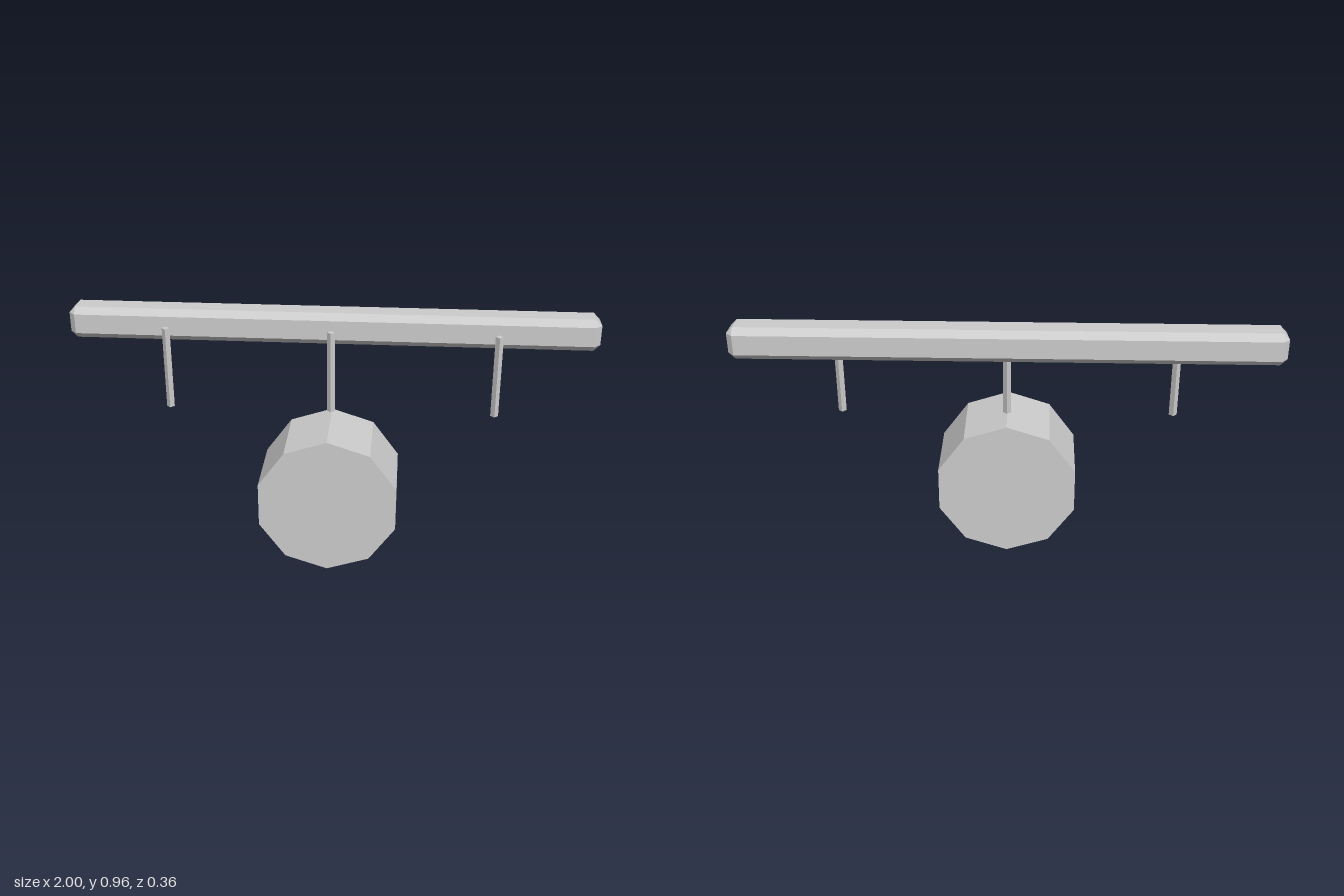
import * as THREE from 'three';
import { ConvexGeometry } from 'three/addons/geometries/ConvexGeometry.js';

// Box with every edge and corner cut flat by c
function chamferedBox(w, h, d, c) {
  const half = [w / 2, h / 2, d / 2];
  const points = [];
  for (const sx of [-1, 1]) for (const sy of [-1, 1]) for (const sz of [-1, 1]) {
    const signs = [sx, sy, sz];
    for (let axis = 0; axis < 3; axis++) {
      points.push(new THREE.Vector3(...half.map((v, i) => signs[i] * (i === axis ? v : v - c))));
    }
  }
  return new ConvexGeometry(points);
}

export function createModel() {
  const model = new THREE.Group();
  model.name = 'beamWithDrum';
  const grey = new THREE.MeshStandardMaterial({ color: 0xcccccc, flatShading: true });
  grey.name = 'light grey';

  const add = (name, geometry, x, y, z) => {
    const mesh = new THREE.Mesh(geometry, grey);
    mesh.name = name;
    mesh.position.set(x, y, z);
    model.add(mesh);
    return mesh;
  };

  // Long horizontal beam
  add('beam', chamferedBox(2, 0.123, 0.123, 0.024), 0, 0.9015, -0.1185);

  // Ten-sided drum with one corner pointing up
  const drum = new THREE.CylinderGeometry(0.2755, 0.2755, 0.298, 10);
  drum.rotateX(Math.PI / 2);
  add('drum', drum, 0, 0.2755, 0.031);

  // Three thin four-sided rods hanging in front of the beam
  const rod = new THREE.CylinderGeometry(0.015, 0.015, 0.323, 4);
  ['rightRod', 'middleRod', 'leftRod'].forEach((name, i) => {
    add(name, rod, (i - 1) * 0.625, 0.7385, -0.043);
  });

  return model;
}
